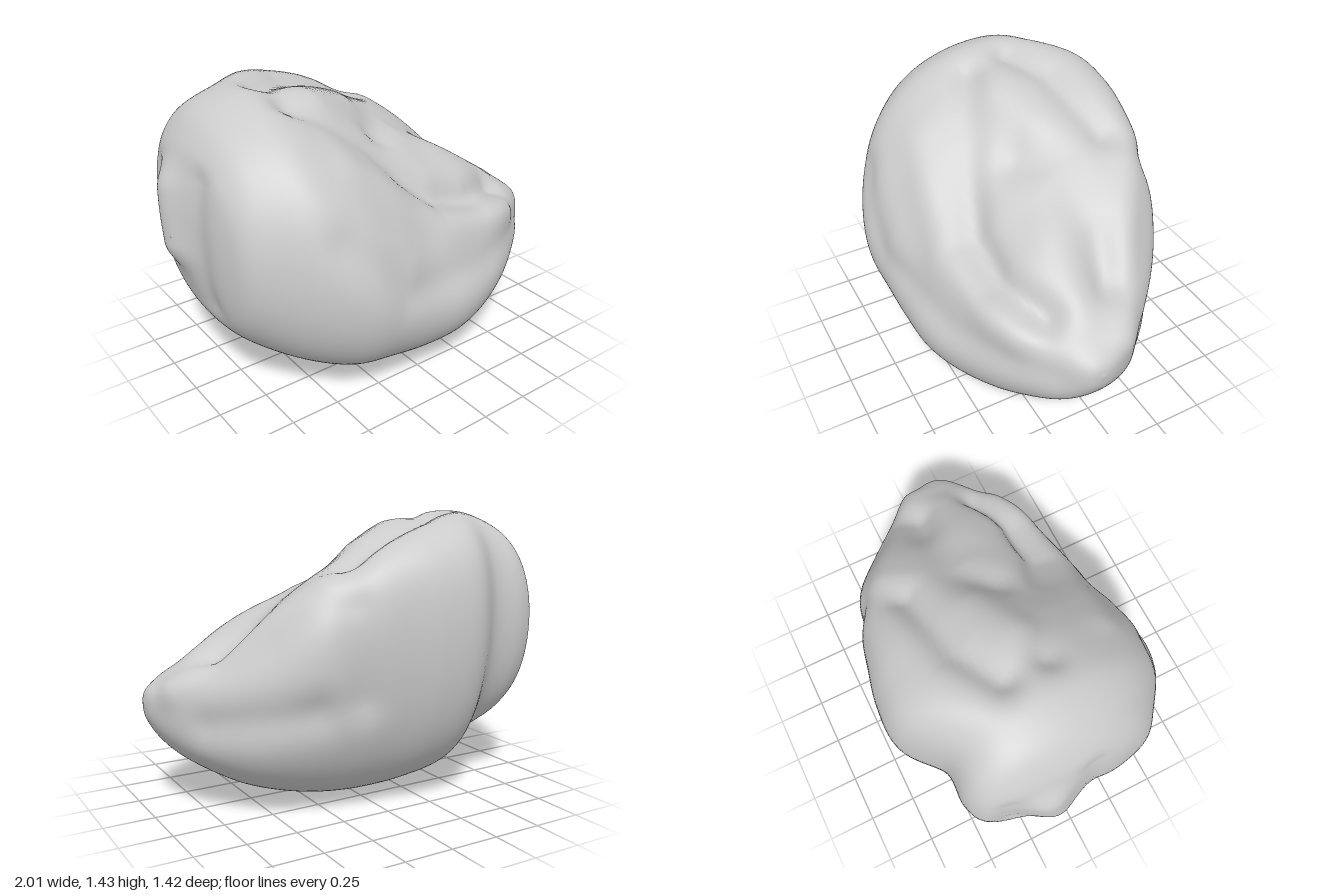
import * as THREE from 'three';

// Stations along x: x, bottom y, top y, back z, front z, lean of the upper half
const stations = [
  [-0.955, 0.80, 0.80, -0.10, -0.10, -0.2],
  [-0.95, 0.66, 0.97, -0.22, 0.12, -0.2],
  [-0.925, 0.51, 1.14, -0.38, 0.29, -0.2],
  [-0.88, 0.38, 1.25, -0.49, 0.41, -0.2],
  [-0.78, 0.27, 1.36, -0.54, 0.50, -0.24],
  [-0.60, 0.16, 1.43, -0.55, 0.63, -0.32],
  [-0.40, 0.06, 1.42, -0.70, 0.70, -0.40],
  [-0.20, 0.02, 1.37, -0.71, 0.69, -0.52],
  [0.00, 0.00, 1.30, -0.67, 0.67, -0.66],
  [0.20, 0.01, 1.20, -0.63, 0.65, -0.68],
  [0.40, 0.05, 1.06, -0.56, 0.59, -0.58],
  [0.60, 0.12, 0.88, -0.44, 0.50, -0.28],
  [0.80, 0.24, 0.73, -0.26, 0.37, -0.12],
  [0.91, 0.34, 0.66, -0.12, 0.28, -0.08],
  [0.98, 0.45, 0.60, 0.02, 0.18, -0.05],
  [1.00, 0.54, 0.54, 0.10, 0.10, 0],
];

// Relief strokes: height along the normal (negative = groove), width, path
const strokes = [
  // long groove inside the front rim
  [-0.07, 0.085, [[-0.45, 1.32, 0.04], [-0.05, 0.98, 0.21], [0.2, 0.84, 0.34], [0.45, 0.78, 0.36], [0.7, 0.72, 0.24]]],
  // front rim
  [0.03, 0.1, [[-0.35, 1.1, 0.36], [0.15, 0.77, 0.52], [0.7, 0.66, 0.4]]],
  // shallow trough below the rim
  [-0.025, 0.1, [[-0.5, 0.9, 0.62], [-0.2, 0.58, 0.69], [0.4, 0.52, 0.59], [0.88, 0.52, 0.28]]],
  // groove behind the upper mound
  [-0.07, 0.085, [[-0.46, 1.4, -0.18], [-0.25, 1.34, -0.3], [0.15, 1.2, -0.38]]],
  // step from the mound down to the tip
  [-0.07, 0.1, [[0.04, 1.06, 0.02], [0.16, 1.04, -0.15], [0.7, 0.78, -0.1]]],
  // mounds on the upper face
  [0.045, 0.12, [[-0.27, 1.29, -0.04], [-0.08, 1.2, -0.14]]],
  [0.02, 0.12, [[0.4, 0.88, 0.07], [0.7, 0.74, 0.08]]],
  // back ridge running to the tip
  [0.03, 0.08, [[0.3, 1.08, -0.42], [0.9, 0.63, -0.06]]],
  // back hollows
  [-0.035, 0.1, [[0.22, 1.0, -0.54], [0.2, 0.6, -0.6]]],
  [-0.035, 0.1, [[0.4, 0.55, -0.53], [0.8, 0.48, -0.22]]],
  // blunt end: raised flange between two furrows
  [0.06, 0.11, [[-0.93, 1.0, -0.18], [-0.95, 0.75, -0.14]]],
  [-0.02, 0.08, [[-0.92, 1.1, 0.06], [-0.92, 0.5, 0.1]]],
  [-0.02, 0.07, [[-0.9, 1.05, -0.36], [-0.92, 0.75, -0.35]]],
];

function strokeHeight(point, [height, width, path]) {
  const line = new THREE.Line3(), near = new THREE.Vector3();
  let best = Infinity;
  for (let i = 0; i + 1 < path.length; i++) {
    line.start.fromArray(path[i]);
    line.end.fromArray(path[i + 1]);
    line.closestPointToPoint(point, true, near);
    best = Math.min(best, near.distanceToSquared(point));
  }
  return height * Math.exp(-best / (width * width));
}

// Slightly squared sine for fuller sections
const fullSin = (a) => (Math.sin(a) + 0.025 * Math.sin(3 * a)) / 0.975;

function bodyGeometry(rings = 130, sides = 128) {
  const curve = (k) => new THREE.CatmullRomCurve3(
    stations.map((s) => new THREE.Vector3(s[k], s[k + 1], s[k + 2])), false, 'catmullrom', 0.5);
  const heights = curve(0), widths = curve(3);
  const positions = [], index = [];
  for (let i = 0; i <= rings; i++) {
    const { x, y: bottom, z: top } = heights.getPoint(i / rings);
    const { x: back, y: front, z: lean } = widths.getPoint(i / rings);
    for (let j = 0; j < sides; j++) {
      // Oval section whose upper half leans backwards
      const a = (j / sides) * Math.PI * 2;
      const phase = THREE.MathUtils.lerp(-0.05, lean, (1 + Math.sin(a)) / 2);
      positions.push(x,
        (bottom + top) / 2 + (top - bottom) / 2 * fullSin(a + phase),
        (front + back) / 2 + (front - back) / 2 * fullSin(a + Math.PI / 2));
      if (i < rings) {
        const p = i * sides + j, q = i * sides + (j + 1) % sides;
        index.push(p, p + sides, q, q, p + sides, q + sides);
      }
    }
  }
  const geometry = new THREE.BufferGeometry();
  geometry.setAttribute('position', new THREE.Float32BufferAttribute(positions, 3));
  geometry.setIndex(index);
  geometry.computeVertexNormals();

  // Press the grooves and ridges into the surface
  const pos = geometry.attributes.position, nor = geometry.attributes.normal;
  const p = new THREE.Vector3(), n = new THREE.Vector3();
  for (let i = 0; i < pos.count; i++) {
    p.fromBufferAttribute(pos, i);
    n.fromBufferAttribute(nor, i);
    const h = strokes.reduce((sum, s) => sum + strokeHeight(p, s), 0);
    p.addScaledVector(n, h);
    pos.setXYZ(i, p.x, p.y, p.z);
  }
  geometry.computeVertexNormals();
  return geometry;
}

export function createModel() {
  const group = new THREE.Group();
  const body = new THREE.Mesh(bodyGeometry(), new THREE.MeshStandardMaterial({ color: 0xcccccc }));
  body.name = 'foldedBody';
  group.add(body);
  return group;
}
